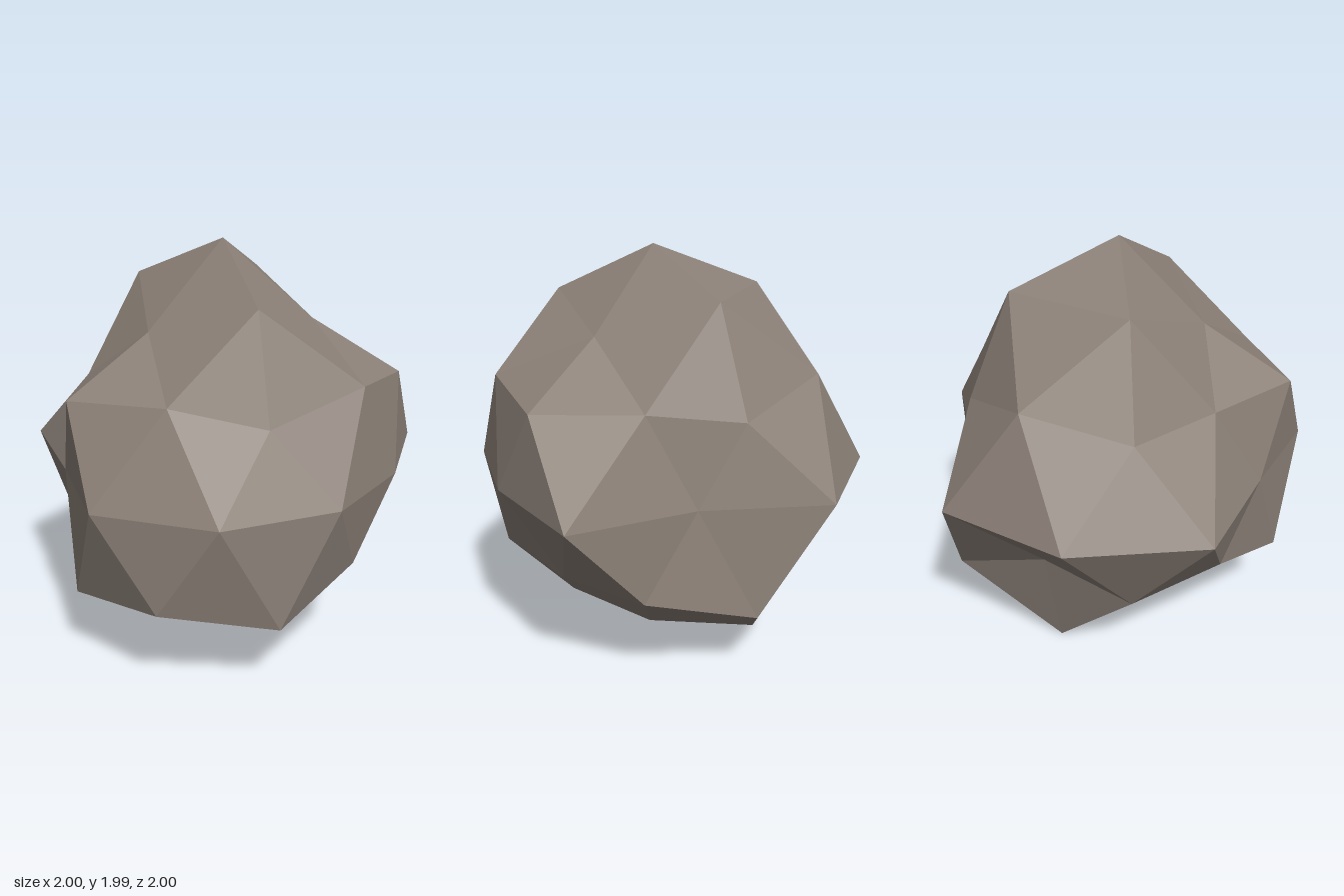
import * as THREE from 'three';

// Radii of the rock's points, ring by ring from the top (angles run from +x towards +z).
const RINGS = [
  { lat: 90, start: 0, r: [1.08] },
  { lat: 58.28, start: 0, r: [0.823, 0.982, 0.8, 1.025, 1.035] },
  { lat: 31.72, start: 0, r: [0, 36, 72, 108, 144, 180, 216, 252, 288, 324].map((a, i) =>
    [0.97, 0.925, 0.765, 0.86, 0.95, 0.785, 0.87, 0.975, 0.85, 0.84][i]) },
  { lat: 0, start: 18, r: [0.875, 0.895, 0.94, 0.96, 0.8, 1.055, 1.066, 1.06, 0.755, 1.05] },
  { lat: -31.72, start: 0, r: [0.815, 0.865, 1.015, 1.005, 1.0, 0.85, 0.9, 0.77, 1.03, 0.93] },
  { lat: -58.28, start: 36, r: [0.85, 0.82, 0.79, 1.065, 0.85] },
  { lat: -90, start: 0, r: [0.84] },
];
const CENTRE = new THREE.Vector3(0, 0.92, 0.06);

function ringPoints({ lat, start, r }, index) {
  return r.map((radius, i) => {
    // In the ten-point side rings, corner points lie nearer the equator than edge midpoints.
    let latitude = lat;
    if (index === 2 && i % 2 === 0) latitude = 26.565;
    if (index === 4 && i % 2 === 1) latitude = -26.565;
    const a = THREE.MathUtils.degToRad(start + (i * 360) / r.length);
    const b = THREE.MathUtils.degToRad(latitude);
    return new THREE.Vector3(Math.cos(b) * Math.cos(a), Math.sin(b), Math.cos(b) * Math.sin(a))
      .multiplyScalar(radius).add(CENTRE);
  });
}

export function createModel() {
  const rings = RINGS.map(ringPoints);
  const positions = [];

  // One half: pole fan, cap facets, then the band down to the equator.
  function addHalf(pole, cap, side, equator, shift, flip) {
    const tri = (a, b, c) => {
      for (const p of flip ? [a, c, b] : [a, b, c]) positions.push(p.x, p.y, p.z);
    };
    const C = (k) => cap[(k + 5) % 5];
    const S = (i) => side[(i + shift + 10) % 10];
    const E = (i) => equator[(i + shift + 10) % 10];
    for (let k = 0; k < 5; k++) {
      tri(pole, C(k + 1), C(k));
      tri(C(k), S(2 * k), S(2 * k - 1));
      tri(C(k), S(2 * k + 1), S(2 * k));
      tri(C(k), C(k + 1), S(2 * k + 1));
    }
    for (let i = 0; i < 10; i++) {
      tri(S(i), E(i), E(i - 1));
      tri(S(i + 1), E(i), S(i));
    }
  }
  addHalf(rings[0][0], rings[1], rings[2], rings[3], 0, false);
  addHalf(rings[6][0], rings[5], rings[4], rings[3], 1, true);

  const geometry = new THREE.BufferGeometry();
  geometry.setAttribute('position', new THREE.Float32BufferAttribute(positions, 3));
  geometry.computeVertexNormals();

  const stone = new THREE.MeshStandardMaterial({ color: 0x8c8178, flatShading: true });
  stone.name = 'warm grey stone';
  const rock = new THREE.Mesh(geometry, stone);
  rock.name = 'rock';

  const group = new THREE.Group();
  group.name = 'boulder';
  group.add(rock);
  return group;
}
